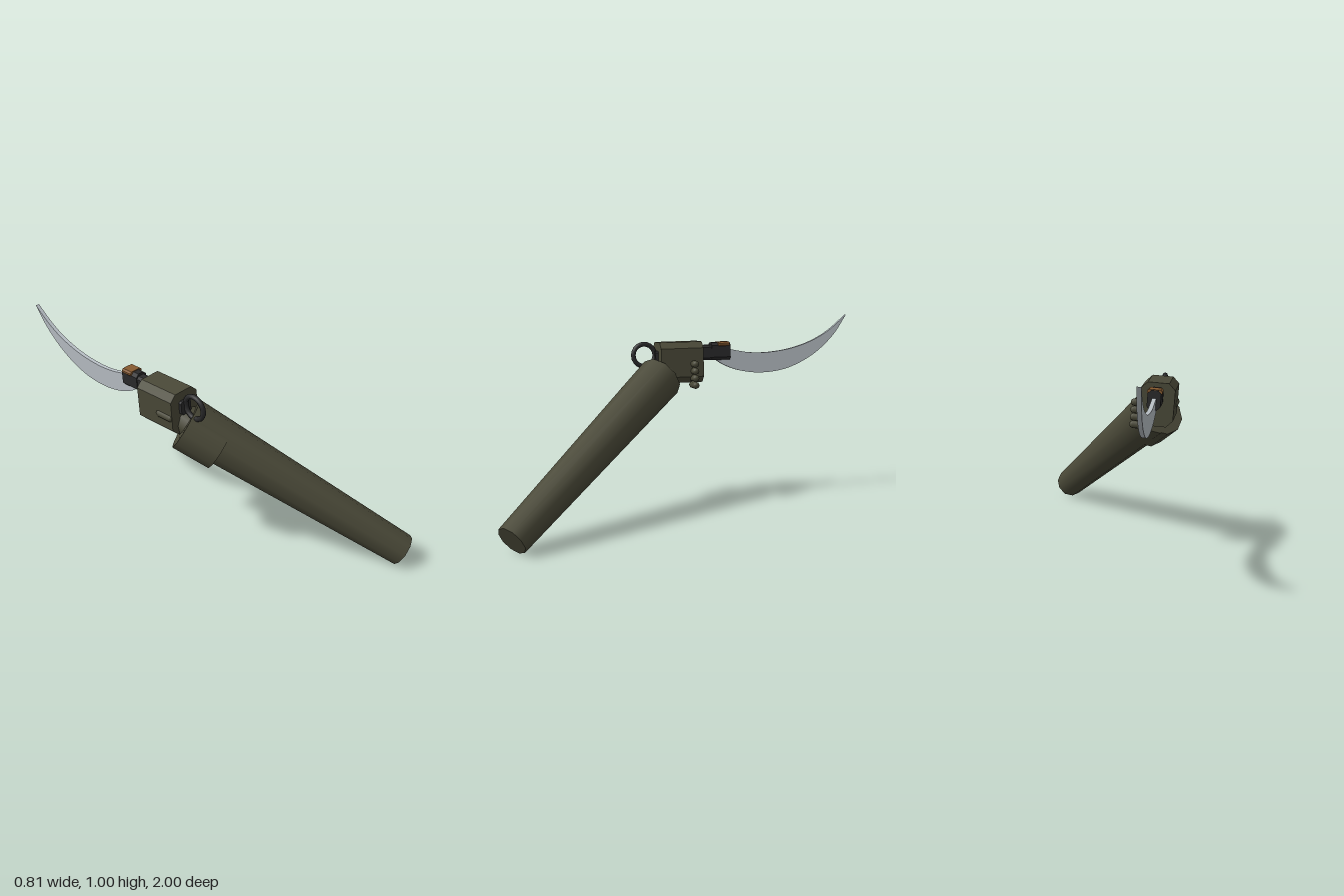
import * as THREE from 'three';

const mat = (name, color, flat) => {
  const m = new THREE.MeshStandardMaterial({ color, flatShading: !!flat });
  m.name = name;
  return m;
};

export function createModel() {
  const root = new THREE.Group();
  root.name = 'armWithCurvedKnife';
  const olive = mat('olive cloth', 0x4a4938);
  const black = mat('black grip', 0x2a2a2b);
  const brown = mat('brown inlay', 0x85592f);
  const steel = mat('blade steel', 0xb9c0c6);

  const add = (parent, name, geo, material, x = 0, y = 0, z = 0) => {
    const m = new THREE.Mesh(geo, material);
    m.name = name;
    m.position.set(x, y, z);
    parent.add(m);
    return m;
  };
  // tapered tube running from point a (radius ra) to point b (radius rb)
  const limb = (name, a, b, ra, rb, sides) => {
    const dir = b.clone().sub(a);
    const m = add(root, name, new THREE.CylinderGeometry(rb, ra, dir.length(), sides), olive);
    m.position.copy(a).add(b).multiplyScalar(0.5);
    m.quaternion.setFromUnitVectors(new THREE.Vector3(0, 1, 0), dir.normalize());
    return m;
  };
  // prism along z with chamfered corners, centred on its own middle
  const chamferedBar = (w, h, d, c) => {
    const x = w / 2, y = h / 2;
    const s = new THREE.Shape([
      [-x + c, -y], [x - c, -y], [x, -y + c], [x, y - c],
      [x - c, y], [-x + c, y], [-x, y - c], [-x, -y + c],
    ].map(p => new THREE.Vector2(...p)));
    return new THREE.ExtrudeGeometry(s, { depth: d, bevelEnabled: false }).translate(0, 0, -d / 2);
  };

  // sleeve, cuff fold and wrist
  const cuffEnd = new THREE.Vector3(-0.28, 0.7, 0.072);
  const elbow = new THREE.Vector3(0.33, 0.071, 0.945);
  limb('sleeve', cuffEnd, elbow, 0.119, 0.081, 10);
  const offset = new THREE.Vector3(-0.037, -0.017, 0.014);
  const along = t => cuffEnd.clone().lerp(elbow, t).add(offset);
  limb('cuffFold', along(0.0), along(0.16), 0.108, 0.105, 10);
  limb('wrist', new THREE.Vector3(-0.27, 0.69, 0.09), new THREE.Vector3(-0.305, 0.745, -0.02), 0.08, 0.07, 10);

  // hand and knife lean slightly together
  const OX = -0.308, OY = 0.773;
  const grip = new THREE.Group();
  grip.name = 'handAndKnife';
  grip.position.set(OX, OY, 0);
  grip.rotation.z = 0.07;
  root.add(grip);

  add(grip, 'hand', chamferedBar(0.168, 0.214, 0.23, 0.032), olive, 0, 0, -0.031);

  // four curled fingers on one side, the thumb on the other
  for (let i = 0; i < 4; i++) {
    const finger = add(grip, 'finger' + (i + 1), new THREE.CapsuleGeometry(0.019, 0.06, 4, 8),
      olive, 0.083, -0.008 - i * 0.037, -0.092);
    finger.rotation.z = Math.PI / 2;
  }
  const thumb = add(grip, 'thumb', new THREE.CapsuleGeometry(0.02, 0.07, 4, 8), olive, -0.075, -0.013, 0.03);
  thumb.rotation.x = Math.PI / 2;

  // knife handle
  add(grip, 'pommel', chamferedBar(0.062, 0.07, 0.08, 0.008), black, -0.003, 0.027, 0.06);
  add(grip, 'handle', chamferedBar(0.056, 0.08, 0.1, 0.012), black, 0, 0.045, -0.175);
  add(grip, 'guard', chamferedBar(0.064, 0.094, 0.105, 0.016), black, 0, 0.05, -0.262);
  add(grip, 'inlay', chamferedBar(0.072, 0.026, 0.062, 0.008), brown, 0, 0.087, -0.277);
  const ring = add(grip, 'fingerRing', new THREE.TorusGeometry(0.058, 0.0125, 8, 20), black, -0.003, 0.042, 0.155);
  ring.rotation.y = Math.PI / 2;

  // curved blade: profile in (-z, y), given thickness across x
  const v = (d, y) => new THREE.Vector2(d, y - OY);
  const blade = new THREE.Shape();
  blade.moveTo(0.22, 0.79 - OY);
  blade.splineThru([v(0.28, 0.75), v(0.37, 0.715), v(0.5, 0.698), v(0.65, 0.717),
    v(0.8, 0.785), v(0.92, 0.886), v(1, 0.998)]);
  blade.splineThru([v(0.9, 0.918), v(0.8, 0.864), v(0.68, 0.826), v(0.55, 0.808),
    v(0.43, 0.81), v(0.3, 0.835)]);
  blade.lineTo(0.22, 0.835 - OY);
  const bladeGeo = new THREE.ExtrudeGeometry(blade, { depth: 0.02, bevelEnabled: false, curveSegments: 24 });
  bladeGeo.rotateY(Math.PI / 2).translate(-0.01, 0, 0);
  add(grip, 'blade', bladeGeo, steel);

  return root;
}
